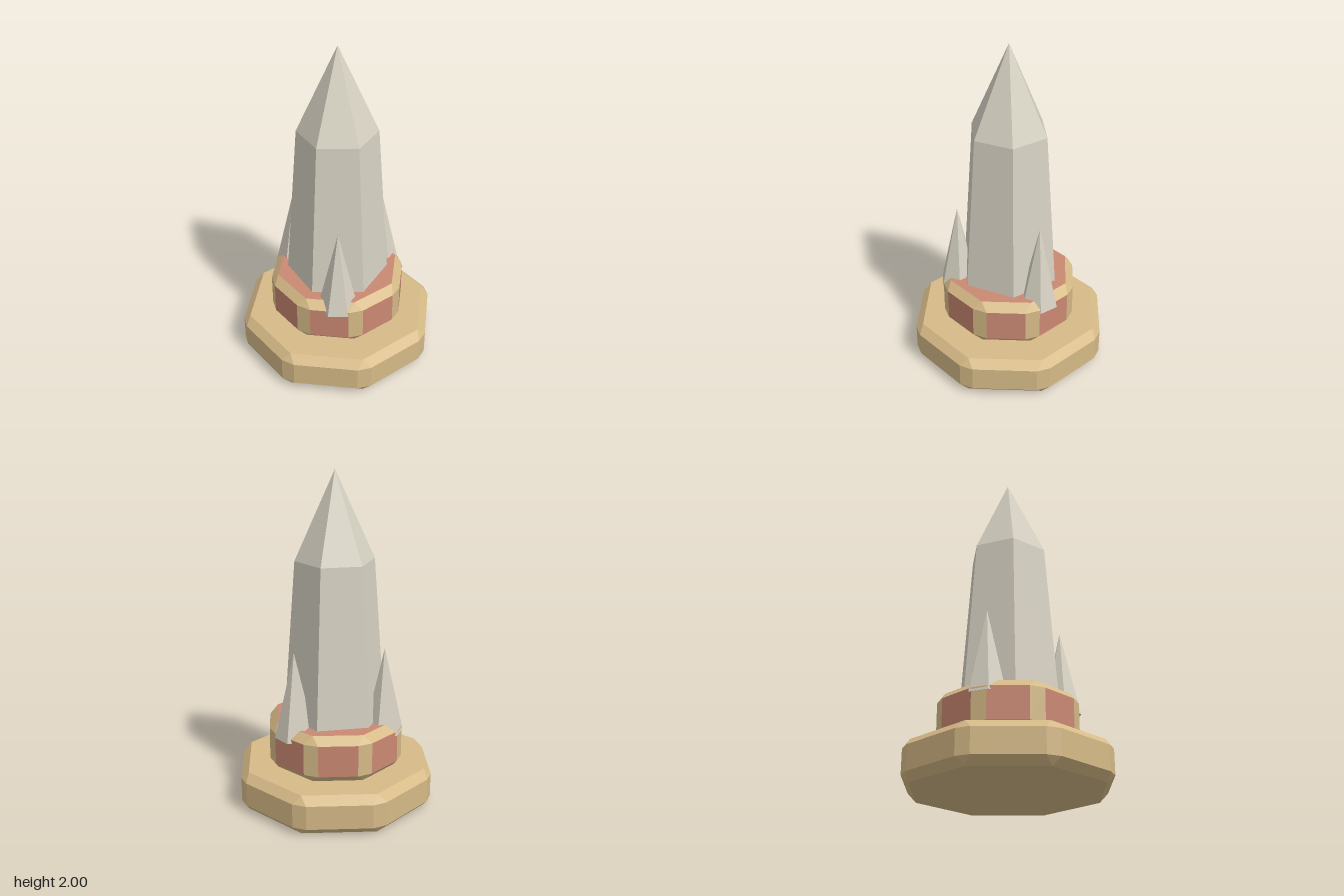
import * as THREE from 'three';

const gold = new THREE.MeshStandardMaterial({ color: 0xd6ba87 });
gold.name = 'gold trim';
const red = new THREE.MeshStandardMaterial({ color: 0xca8872 });
red.name = 'clay red';
const stone = new THREE.MeshStandardMaterial({ color: 0xd6d1c2 });
stone.name = 'pale crystal';

function facetedMesh(name, points, material) {
  const geometry = new THREE.BufferGeometry().setFromPoints(points);
  geometry.computeVertexNormals();
  const mesh = new THREE.Mesh(geometry, material);
  mesh.name = name;
  return mesh;
}

// Octagonal slab with every edge bevelled; panels are its long sides and top
function bevelledOctagon(name, { inner, outer, half, y, panelMaterial }) {
  const trim = [], panels = [];
  const at = (k, r, side, h) => {
    const a = k * Math.PI / 4, s = Math.sin(a), c = Math.cos(a);
    return new THREE.Vector3(r * s + side * c, h, r * c - side * s);
  };
  const quad = (list, a, b, c, d) => list.push(a, b, c, a, c, d);
  const [y0, y1, y2, y3] = y;
  for (let k = 0; k < 8; k++) {
    const bot = at(k, inner, 0, y0), botNext = at(k + 1, inner, 0, y0);
    const top = at(k, inner, 0, y3), topNext = at(k + 1, inner, 0, y3);
    const l1 = at(k, outer, -half, y1), r1 = at(k, outer, half, y1);
    const l2 = at(k, outer, -half, y2), r2 = at(k, outer, half, y2);
    const n1 = at(k + 1, outer, -half, y1), n2 = at(k + 1, outer, -half, y2);
    quad(trim, l1, r1, r2, l2);             // corner bevel
    trim.push(l2, r2, top, bot, r1, l1);    // corner tips
    quad(trim, r2, n2, topNext, top);       // upper bevel
    quad(trim, bot, botNext, n1, r1);       // lower bevel
    trim.push(new THREE.Vector3(0, y0, 0), botNext, bot);
    quad(panels, r1, n1, n2, r2);           // long side
    panels.push(new THREE.Vector3(0, y3, 0), top, topNext);
  }
  const group = new THREE.Group();
  group.name = name;
  group.add(facetedMesh(name + 'Trim', trim, gold), facetedMesh(name + 'Panels', panels, panelMaterial));
  return group;
}

// Six-sided crystal turned from a [radius, height] profile
function crystal(name, profile, x = 0, z = 0) {
  const points = profile.map(([r, h]) => new THREE.Vector2(r, h));
  const geometry = new THREE.LatheGeometry(points, 6).toNonIndexed();
  geometry.computeVertexNormals();
  const mesh = new THREE.Mesh(geometry, stone);
  mesh.name = name;
  mesh.position.set(x, 0, z);
  return mesh;
}

export function createModel() {
  const model = new THREE.Group();
  model.name = 'crystalMonument';

  // Stepped plinth
  model.add(bevelledOctagon('base', {
    inner: 0.567, outer: 0.6, half: 0.042, y: [0, 0.047, 0.193, 0.24], panelMaterial: gold,
  }));
  model.add(bevelledOctagon('collar', {
    inner: 0.378, outer: 0.41, half: 0.045, y: [0.24, 0.287, 0.479, 0.526], panelMaterial: red,
  }));

  // Main spire
  model.add(crystal('spire', [[0, 0.5], [0.31, 0.5], [0.237, 1.48], [0, 2]]));

  // Three small shards around the spire
  for (let i = 0; i < 3; i++) {
    const a = Math.PI / 6 + i * Math.PI * 2 / 3;
    model.add(crystal('shard' + (i + 1), [[0, 0.456], [0.119, 0.456], [0, 0.975]],
      0.31 * Math.sin(a), 0.31 * Math.cos(a)));
  }
  return model;
}
